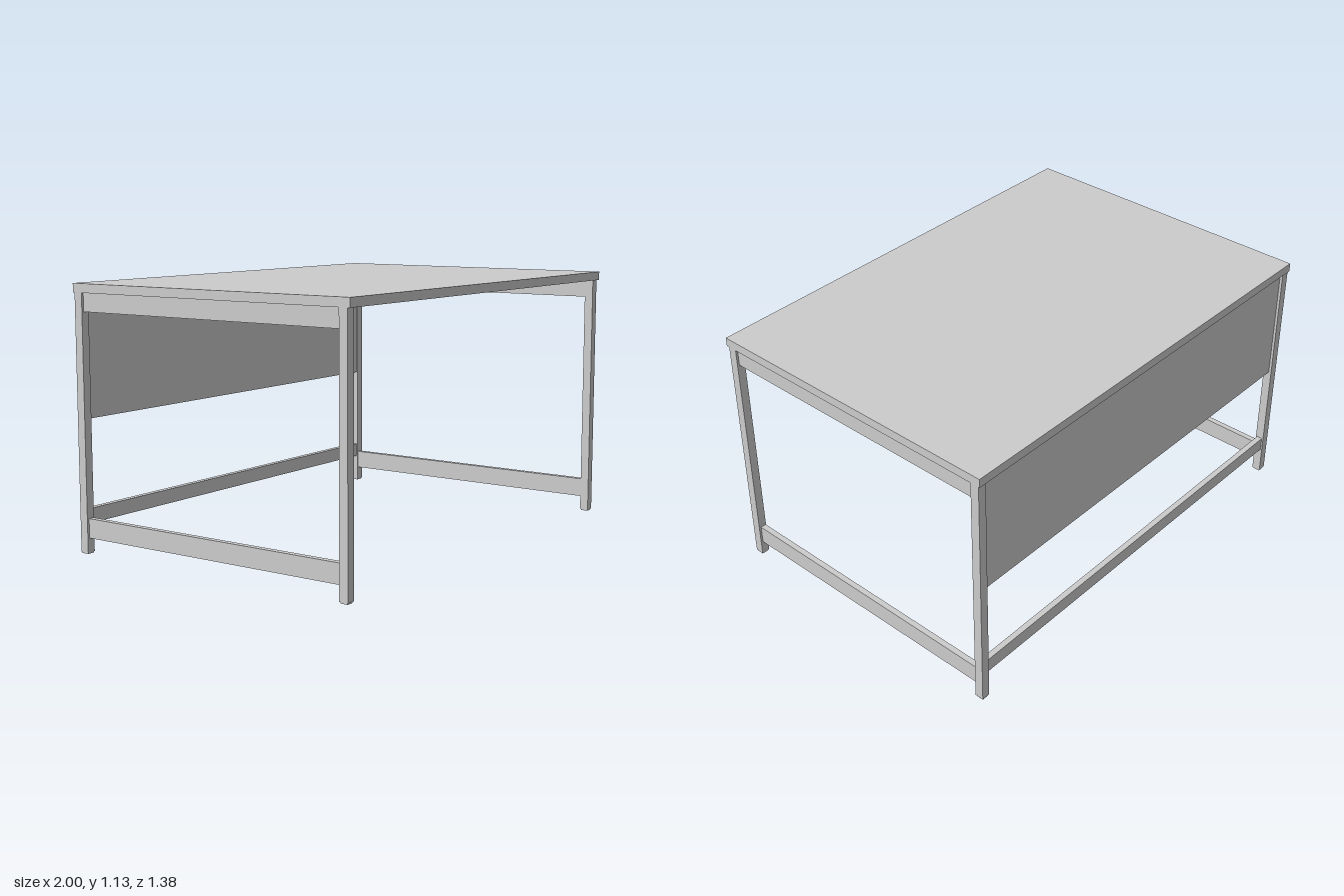
import * as THREE from 'three';

export function createModel() {
  const desk = new THREE.Group();
  desk.name = 'desk';
  const material = new THREE.MeshStandardMaterial({ color: 0xcccccc });

  // Box given by its [min, max] range on each axis
  function addBox(name, [x0, x1], [y0, y1], [z0, z1]) {
    const mesh = new THREE.Mesh(new THREE.BoxGeometry(x1 - x0, y1 - y0, z1 - z0), material);
    mesh.position.set((x0 + x1) / 2, (y0 + y1) / 2, (z0 + z1) / 2);
    mesh.name = name;
    desk.add(mesh);
  }

  const top = 1.089; // underside of the tabletop
  addBox('tabletop', [-1, 1], [top, 1.127], [-0.692, 0.692]);

  for (const [side, s] of [['left', 1], ['right', -1]]) {
    const across = (a, b) => (s > 0 ? [a, b] : [-b, -a]);

    // Legs on slightly smaller feet
    for (const [end, z0, z1] of [['Front', 0.641, 0.68], ['Back', -0.685, -0.646]]) {
      addBox(`${side}${end}Leg`, across(0.96, 0.998), [0.006, top], [z0, z1]);
      addBox(`${side}${end}Foot`, across(0.963, 0.995), [0, 0.006], [z0 + 0.003, z1 - 0.003]);
    }

    // Side rails between the legs
    addBox(`${side}UpperRail`, across(0.962, 0.988), [1.011, top], [-0.646, 0.641]);
    addBox(`${side}LowerRail`, across(0.962, 0.988), [0.067, 0.15], [-0.646, 0.641]);
  }

  // Back panel and stretcher between the back legs
  addBox('modestyPanel', [-0.96, 0.96], [0.567, top], [-0.673, -0.653]);
  addBox('backStretcher', [-0.96, 0.96], [0.127, 0.19], [-0.678, -0.652]);

  return desk;
}
